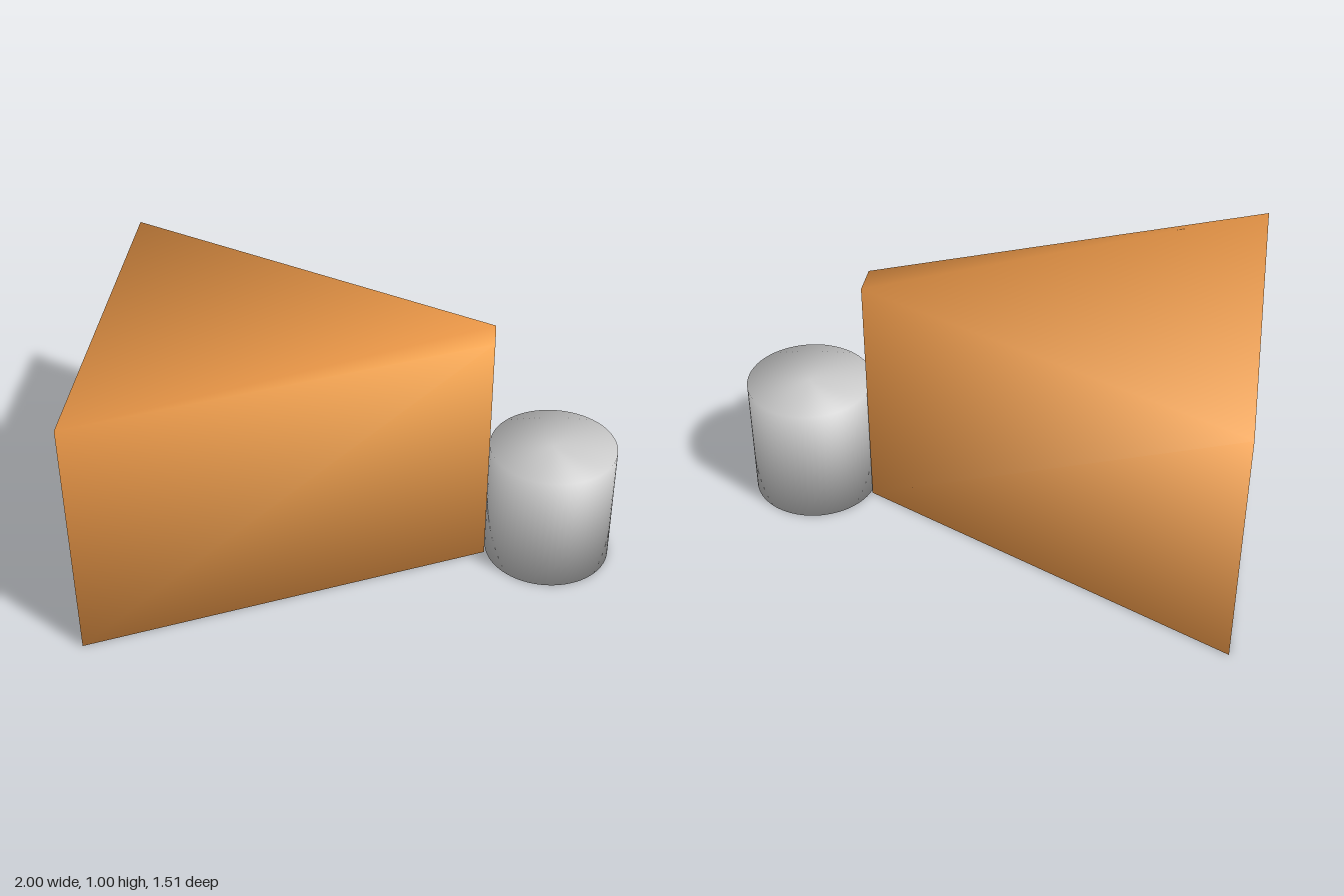
import * as THREE from 'three';

// Gives every vertex a normal from a rule on its position, so shading flows across the edges.
function softenNormals(geometry, rule) {
  const p = geometry.attributes.position;
  for (let i = 0; i < p.count; i++) {
    const n = rule(p.getX(i), p.getY(i), p.getZ(i)).normalize();
    geometry.attributes.normal.setXYZ(i, n.x, n.y, n.z);
  }
  return geometry;
}

function part(name, geometry, color, x, y) {
  const mesh = new THREE.Mesh(geometry, new THREE.MeshStandardMaterial({ color }));
  mesh.name = name;
  mesh.position.set(x, y, 0);
  return mesh;
}

// Block 1.5 long and 1 high, tapering in plan from a wide end to a narrow end.
function wedgeGeometry() {
  const wide = 0.757, narrow = 0.065, length = 1.5;
  const geometry = new THREE.BoxGeometry(length, 1, 2);
  const p = geometry.attributes.position;
  for (let i = 0; i < p.count; i++) {
    p.setZ(i, p.getZ(i) * (p.getX(i) < 0 ? wide : narrow));
  }
  // Corner normals: end, top/bottom and slanted side blended by their corner angles.
  const slope = Math.atan2(wide - narrow, length);
  const right = Math.PI / 2;
  return softenNormals(geometry, (x, y, z) => new THREE.Vector3(
    right * (Math.sign(x) + Math.sin(slope)),
    Math.sign(y) * (right + Math.sign(x) * slope),
    Math.sign(z) * right * Math.cos(slope)
  ));
}

// Upright drum with softly shaded rims.
function drumGeometry() {
  const r = 0.25;
  return softenNormals(new THREE.CylinderGeometry(r, r, 0.5, 64),
    (x, y, z) => new THREE.Vector3(x / r, Math.sign(y), z / r));
}

export function createModel() {
  const group = new THREE.Group();
  group.name = 'wedgeAndDrum';
  group.add(part('taperedBlock', wedgeGeometry(), 0xffa54f, -0.25, 0.5));
  group.add(part('drum', drumGeometry(), 0xcccccc, 0.75, 0.25));
  return group;
}
